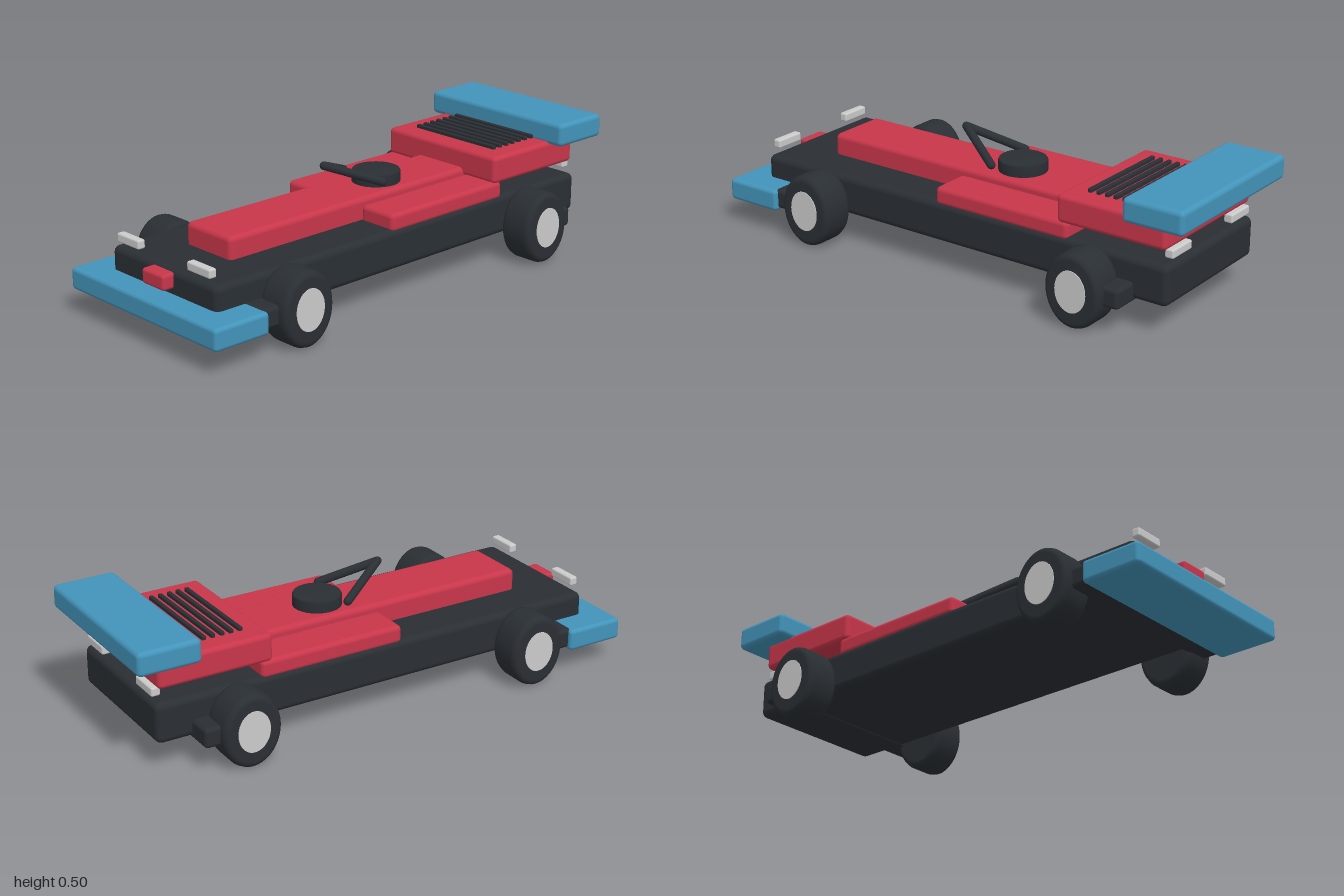
import * as THREE from 'three';
import { RoundedBoxGeometry } from 'three/addons/geometries/RoundedBoxGeometry.js';

const material = (color) => new THREE.MeshStandardMaterial({ color });

export function createModel() {
  const model = new THREE.Group();
  const red = material(0xc8364a), blue = material(0x4394ba);
  const dark = material(0x2a2f34), grey = material(0xcccccc);

  function add(name, geometry, mat, x = 0, y = 0, z = 0) {
    const mesh = new THREE.Mesh(geometry, mat);
    mesh.name = name;
    mesh.position.set(x, y, z);
    model.add(mesh);
    return mesh;
  }

  // Rounded box given by its limits on each axis
  function block(name, mat, [x0, x1], [y0, y1], [z0, z1], radius) {
    const geometry = new RoundedBoxGeometry(x1 - x0, y1 - y0, z1 - z0, 3, radius);
    return add(name, geometry, mat, (x0 + x1) / 2, (y0 + y1) / 2, (z0 + z1) / 2);
  }

  // Hull and bodywork, nose towards -x
  block('chassis', dark, [-0.9, 0.915], [0.115, 0.268], [-0.289, 0.289], 0.025);
  block('spine', red, [-0.7, 0.715], [0.22, 0.35], [-0.122, 0.122], 0.02);
  block('engineCover', red, [0.455, 0.9], [0.318, 0.424], [-0.283, 0.283], 0.018);
  block('nose', red, [-0.945, -0.87], [0.2, 0.258], [-0.06, 0.06], 0.012);
  block('frontWing', blue, [-1, -0.765], [0.097, 0.18], [-0.402, 0.402], 0.015);
  block('rearWing', blue, [0.76, 1], [0.413, 0.503], [-0.344, 0.344], 0.018);

  // Cross bars beside the wheels
  block('frontAxleBar', dark, [-0.785, -0.69], [0.106, 0.181], [-0.384, 0.384], 0.015);
  block('rearAxleBar', dark, [0.69, 0.782], [0.106, 0.181], [-0.384, 0.384], 0.015);

  // Louvers on the engine cover
  for (let i = 0; i < 7; i++) {
    const x = 0.54 + i * 0.0355;
    block('louver', dark, [x - 0.008, x + 0.008], [0.415, 0.438], [-0.205, 0.205], 0.004);
  }

  // Cockpit hatch
  const hatch = new THREE.LatheGeometry([
    [0, 0], [0.09, 0], [0.092, 0.004], [0.092, 0.044], [0.088, 0.05], [0, 0.05],
  ].map(([r, y]) => new THREE.Vector2(r, y)), 32);
  add('cockpitHatch', hatch, dark, 0.11, 0.345, 0);

  // Tire with rounded shoulders, as a unit-radius profile
  const half = 0.069;
  const tireProfile = [
    [0, -half], [0.82, -half], [0.9, -half + 0.003], [0.965, -half + 0.011],
    [1, -half + 0.026], [1, half - 0.026], [0.965, half - 0.011],
    [0.9, half - 0.003], [0.82, half], [0, half],
  ].map(([r, y]) => new THREE.Vector2(r, y));
  const tireGeometry = new THREE.LatheGeometry(tireProfile, 40);
  const rimGeometry = new THREE.CylinderGeometry(1, 1, 0.012, 40);

  for (const side of [-1, 1]) {
    // Side pods
    const z = [0.12, 0.282].map((v) => v * side).sort((a, b) => a - b);
    block('sidePod', red, [-0.08, 0.5], [0.255, 0.325], z, 0.018);

    // Lamps at both ends
    const lamp = [0.133, 0.255].map((v) => v * side).sort((a, b) => a - b);
    block('headlight', grey, [-0.9, -0.868], [0.288, 0.322], lamp, 0.007);
    block('tailLight', grey, [0.88, 0.915], [0.286, 0.32], lamp, 0.007);

    // Sloping cockpit guard strut
    const tip = new THREE.Vector3(-0.152, 0.462, 0);
    const end = new THREE.Vector3(0.042, 0.382, 0.105 * side);
    const dir = end.clone().sub(tip);
    const mid = tip.clone().add(end).multiplyScalar(0.5);
    const strut = add('guardStrut', new THREE.CapsuleGeometry(0.016, dir.length(), 4, 12),
      dark, mid.x, mid.y, mid.z);
    strut.quaternion.setFromUnitVectors(new THREE.Vector3(0, 1, 0), dir.normalize());

    // Wheels, taller than they are long
    for (const x of [-0.6, 0.612]) {
      const tire = add('tire', tireGeometry, dark, x, 0.143, 0.35 * side);
      tire.rotation.x = Math.PI / 2;
      tire.scale.set(0.114, 1, 0.14);
      const rim = add('rim', rimGeometry, grey, x, 0.146, 0.416 * side);
      rim.rotation.x = Math.PI / 2;
      rim.scale.set(0.063, 1, 0.078);
    }
  }
  return model;
}
